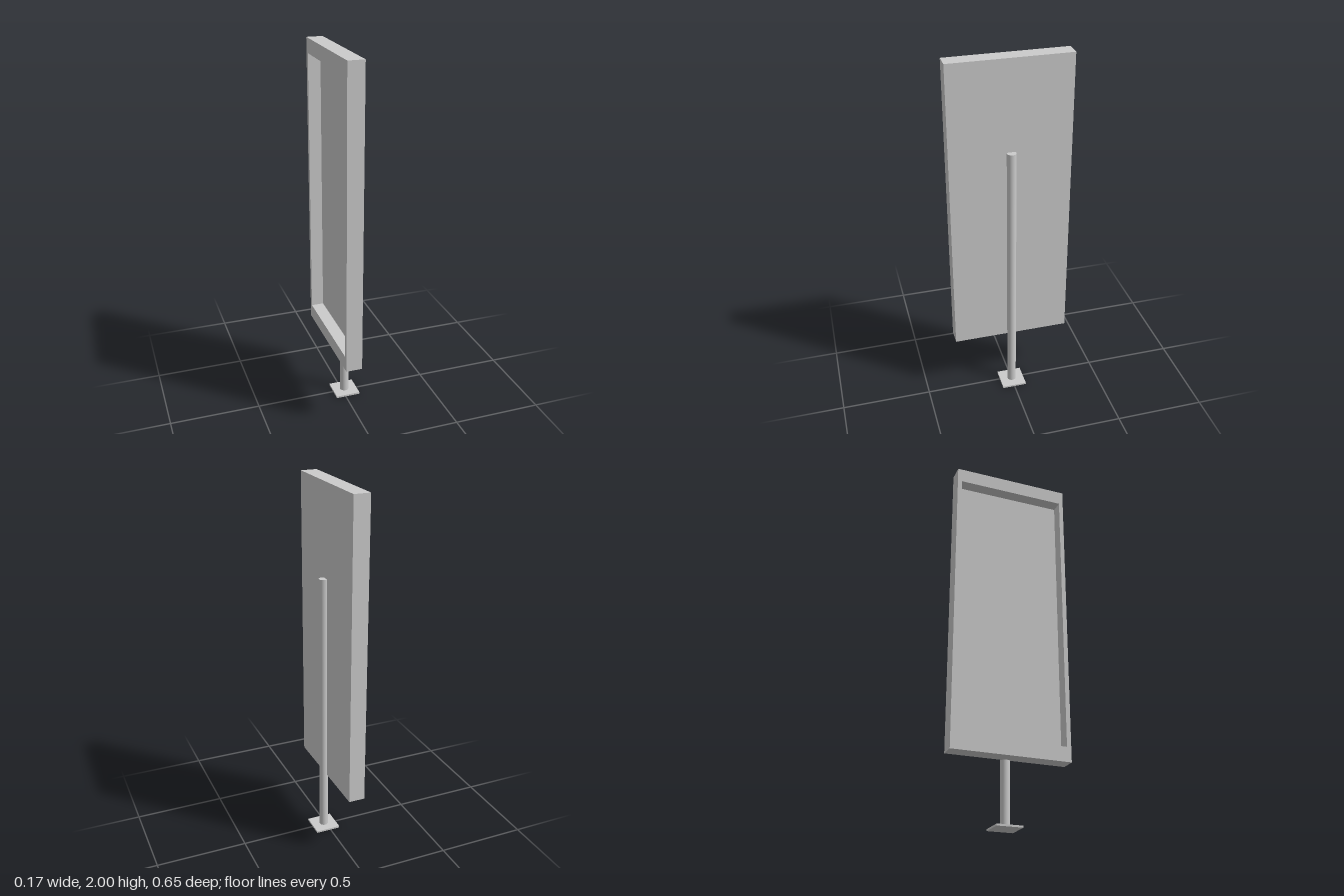
import * as THREE from 'three';

const material = new THREE.MeshStandardMaterial({ color: 0xcccccc });

function add(group, name, geometry, x, y, z = 0) {
  const mesh = new THREE.Mesh(geometry, material);
  mesh.name = name;
  mesh.position.set(x, y, z);
  group.add(mesh);
  return mesh;
}

// Rectangle centred on the origin
function rectangle(path, w, h) {
  return path.moveTo(-w / 2, -h / 2).lineTo(w / 2, -h / 2)
    .lineTo(w / 2, h / 2).lineTo(-w / 2, h / 2).closePath();
}

export function createModel() {
  const group = new THREE.Group();
  group.name = 'signStand';

  const width = 0.652, bottom = 0.345, top = 2;
  const height = top - bottom, midY = (top + bottom) / 2;
  const backX = 0.003, panelX = -0.017, faceX = -0.086;

  // Solid back of the display, on the pole side
  add(group, 'backPanel', new THREE.BoxGeometry(backX - panelX, height, width), (backX + panelX) / 2, midY);

  // Deep rim around the recessed face: narrow sides, taller top and bottom
  const outline = rectangle(new THREE.Shape(), width, height);
  outline.holes.push(rectangle(new THREE.Path(), width - 0.048, height - 0.16));
  const rim = new THREE.ExtrudeGeometry(outline, { depth: panelX - faceX, bevelEnabled: false });
  rim.rotateY(-Math.PI / 2);
  add(group, 'frame', rim, panelX, midY);

  // Round pole, partly sunk into the back panel
  const poleTop = 1.505;
  add(group, 'pole', new THREE.CylinderGeometry(0.025, 0.025, poleTop - 0.01, 48), 0.014, (poleTop + 0.01) / 2);

  // Square foot plate
  add(group, 'basePlate', new THREE.BoxGeometry(0.139, 0.01, 0.139), 0.015, 0.005);

  return group;
}
